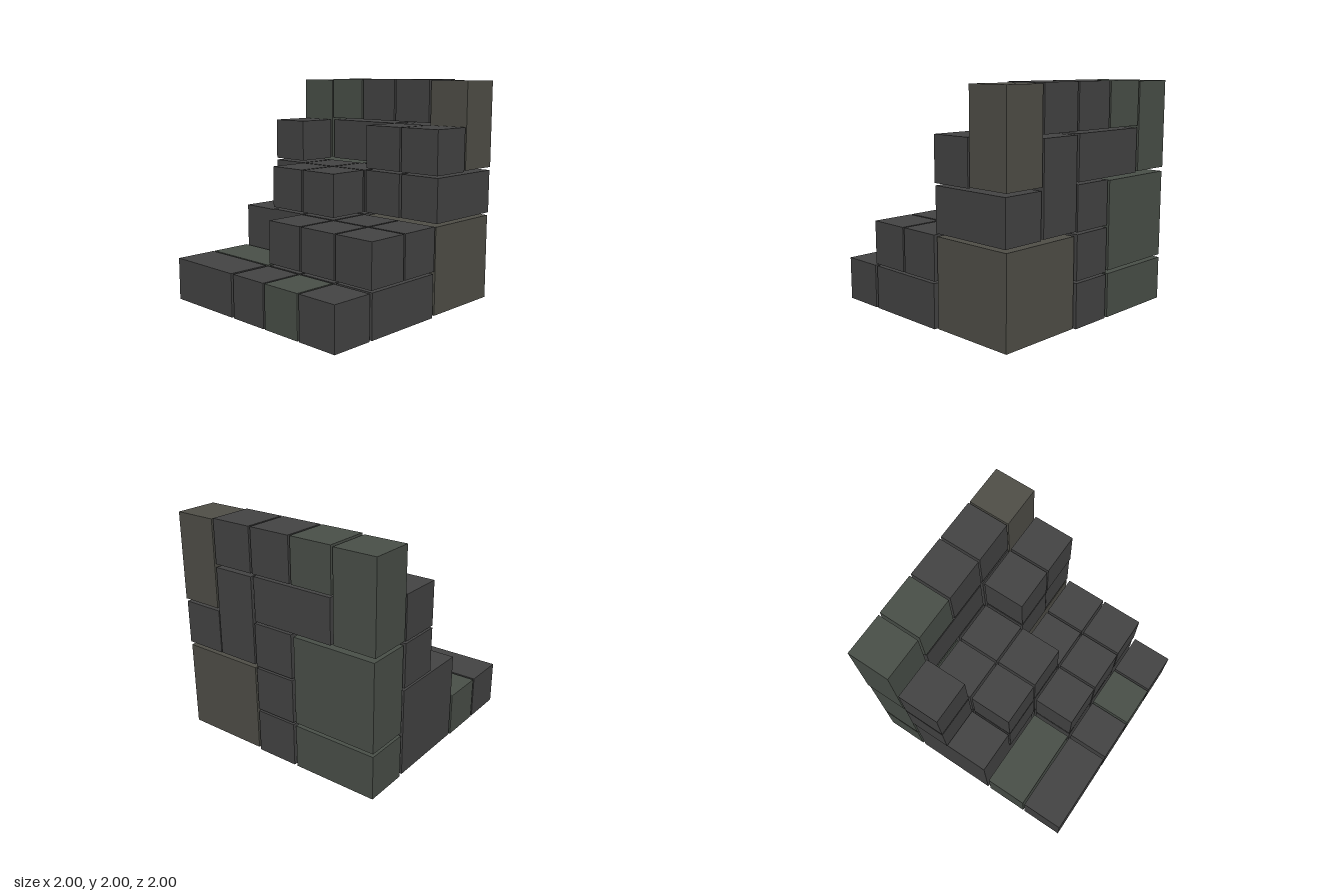
import * as THREE from 'three';

const SIZE = 0.385;                 // edge of a single block
const PITCH = (2 - SIZE) / 4;       // spacing of the 5 x 5 x 5 grid

const materials = {
  dark: new THREE.MeshStandardMaterial({ color: 0x444444 }),
  green: new THREE.MeshStandardMaterial({ color: 0x4a5049 }),
  brown: new THREE.MeshStandardMaterial({ color: 0x504f48 }),
};

// Number of blocks stacked in each column: rows run back to front, columns from -x to +x
const heights = [
  [5, 5, 5, 5, 5],
  [4, 3, 3, 4, 4],
  [2, 3, 3, 2, 2],
  [1, 1, 2, 2, 2],
  [1, 1, 1, 1, 1],
];

// Blocks longer than one cell, plus tinted singles: name, first cell, cell counts, tint
const specials = [
  ['frontLongBlock', [0, 0, 4], [2, 1, 1], 'dark'],
  ['frontGreenBlock', [3, 0, 4], [1, 1, 1], 'green'],
  ['lowGreenBar', [0, 0, 3], [2, 1, 1], 'green'],
  ['lowSideBar', [4, 0, 2], [1, 1, 2], 'dark'],
  ['largeCornerCube', [3, 0, 0], [2, 2, 2], 'brown'],
  ['backBottomBar', [0, 0, 0], [2, 1, 1], 'green'],
  ['backSquareSlab', [0, 1, 0], [2, 2, 1], 'green'],
  ['middleSideBar', [4, 2, 0], [1, 1, 2], 'dark'],
  ['backTallBlock', [3, 2, 0], [1, 2, 1], 'dark'],
  ['backWideBlock', [1, 3, 0], [2, 1, 1], 'dark'],
  ['greenPost', [0, 3, 0], [1, 2, 1], 'green'],
  ['topGreenBlock', [1, 4, 0], [1, 1, 1], 'green'],
  ['brownPost', [4, 3, 0], [1, 2, 1], 'brown'],
];

// Centre of a run of n cells starting at cell i, along a horizontal or the vertical axis
const across = (i, n) => (i + (n - 1) / 2 - 2) * PITCH;
const upward = (j, n) => SIZE / 2 + (j + (n - 1) / 2) * PITCH;

function block(name, [x, y, z], [w, h, d], tint) {
  const mesh = new THREE.Mesh(
    new THREE.BoxGeometry(w * SIZE, h * SIZE, d * SIZE), materials[tint]);
  mesh.position.set(across(x, w), upward(y, h), across(z, d));
  mesh.name = name;
  return mesh;
}

// L-shaped piece: two cells wide at the bottom, one cell wide above, two cells deep
function steppedBlock() {
  const s = SIZE;
  const outline = new THREE.Shape(
    [[-s, -s], [s, -s], [s, 0], [0, 0], [0, s], [-s, s]].map(([x, y]) => new THREE.Vector2(x, y)));
  const geometry = new THREE.ExtrudeGeometry(outline, { depth: 2 * s, bevelEnabled: false });
  geometry.translate(0, 0, -s);
  const mesh = new THREE.Mesh(geometry, materials.dark);
  mesh.position.set(across(0, 2), upward(0, 2), across(1, 2));
  mesh.name = 'steppedBlock';
  return mesh;
}

export function createModel() {
  const model = new THREE.Group();
  model.name = 'blockStairs';
  const used = new Set();
  const occupy = ([x, y, z], [w, h, d]) => {
    for (let i = x; i < x + w; i++)
      for (let j = y; j < y + h; j++)
        for (let k = z; k < z + d; k++) used.add(`${i},${j},${k}`);
  };

  // Long, large and tinted blocks
  for (const [name, cell, count, tint] of specials) {
    model.add(block(name, cell, count, tint));
    occupy(cell, count);
  }
  model.add(steppedBlock());
  occupy([0, 0, 1], [2, 1, 2]);
  occupy([0, 1, 1], [1, 1, 2]);

  // Single blocks fill every remaining cell
  heights.forEach((row, z) => row.forEach((height, x) => {
    for (let y = 0; y < height; y++) {
      if (!used.has(`${x},${y},${z}`)) model.add(block('singleBlock', [x, y, z], [1, 1, 1], 'dark'));
    }
  }));
  return model;
}
